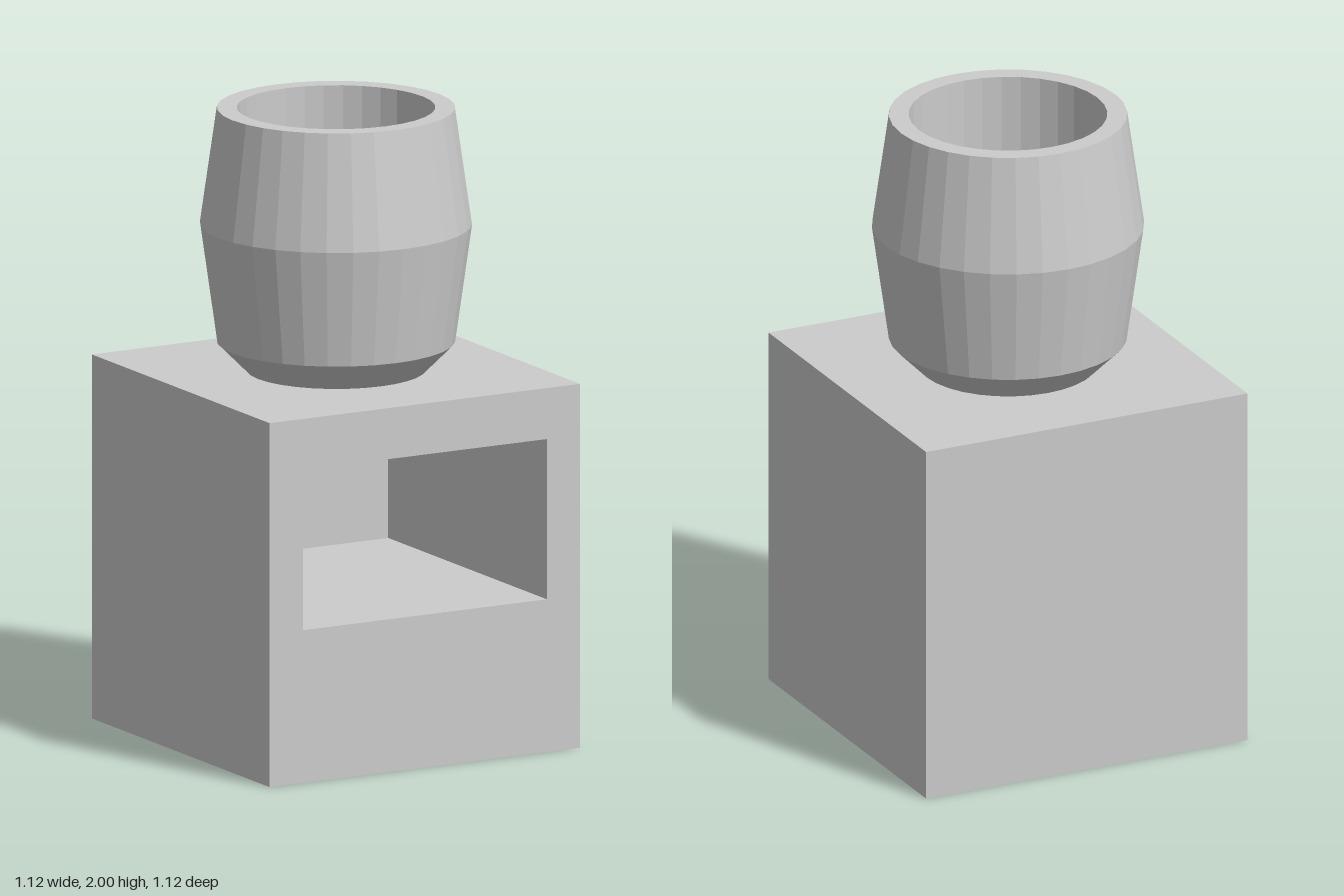
import * as THREE from 'three';

const material = new THREE.MeshStandardMaterial({ color: 0xcccccc, flatShading: true });

function addMesh(parent, name, geometry) {
  const mesh = new THREE.Mesh(geometry, material);
  mesh.name = name;
  parent.add(mesh);
  return mesh;
}

// Box without its front (+z) face; inward turns the faces to the inside.
function openBox(width, height, depth, inward = false) {
  const geometry = new THREE.BoxGeometry(width, height, depth);
  const index = Array.from(geometry.index.array);
  index.splice(24, 6);
  if (inward) index.reverse();
  geometry.clearGroups();
  geometry.setIndex(index);
  geometry.computeVertexNormals();
  return geometry;
}

export function createModel() {
  const model = new THREE.Group();
  model.name = 'pedestalWithPot';

  const size = 1.115, height = 1.163, half = size / 2;
  const opening = { left: -0.438, right: 0.438, bottom: 0.488, top: 1.0 };
  const openWidth = opening.right - opening.left;
  const openHeight = opening.top - opening.bottom;
  const depth = 0.995;

  // Pedestal: outer shell, front panel with window, recess behind it
  const pedestal = new THREE.Group();
  pedestal.name = 'pedestal';
  model.add(pedestal);

  addMesh(pedestal, 'shell', openBox(size, height, size)).position.y = height / 2;

  const front = new THREE.Shape([
    new THREE.Vector2(-half, 0), new THREE.Vector2(half, 0),
    new THREE.Vector2(half, height), new THREE.Vector2(-half, height),
  ]);
  front.holes.push(new THREE.Path([
    new THREE.Vector2(opening.left, opening.bottom), new THREE.Vector2(opening.left, opening.top),
    new THREE.Vector2(opening.right, opening.top), new THREE.Vector2(opening.right, opening.bottom),
  ]));
  addMesh(pedestal, 'frontPanel', new THREE.ShapeGeometry(front)).position.z = half;

  addMesh(pedestal, 'recess', openBox(openWidth, openHeight, depth, true))
    .position.set(0, opening.bottom + openHeight / 2, half - depth / 2);

  // Pot: faceted barrel with a flat rim and a straight hollow
  const profile = [
    [0.28, height], [0.372, 1.255], [0.425, 1.63], [0.372, 2],
    [0.31, 2], [0.31, 1.255], [0, 1.255],
  ].map(([r, y]) => new THREE.Vector2(r, y));
  addMesh(model, 'pot', new THREE.LatheGeometry(profile, 32));

  return model;
}
